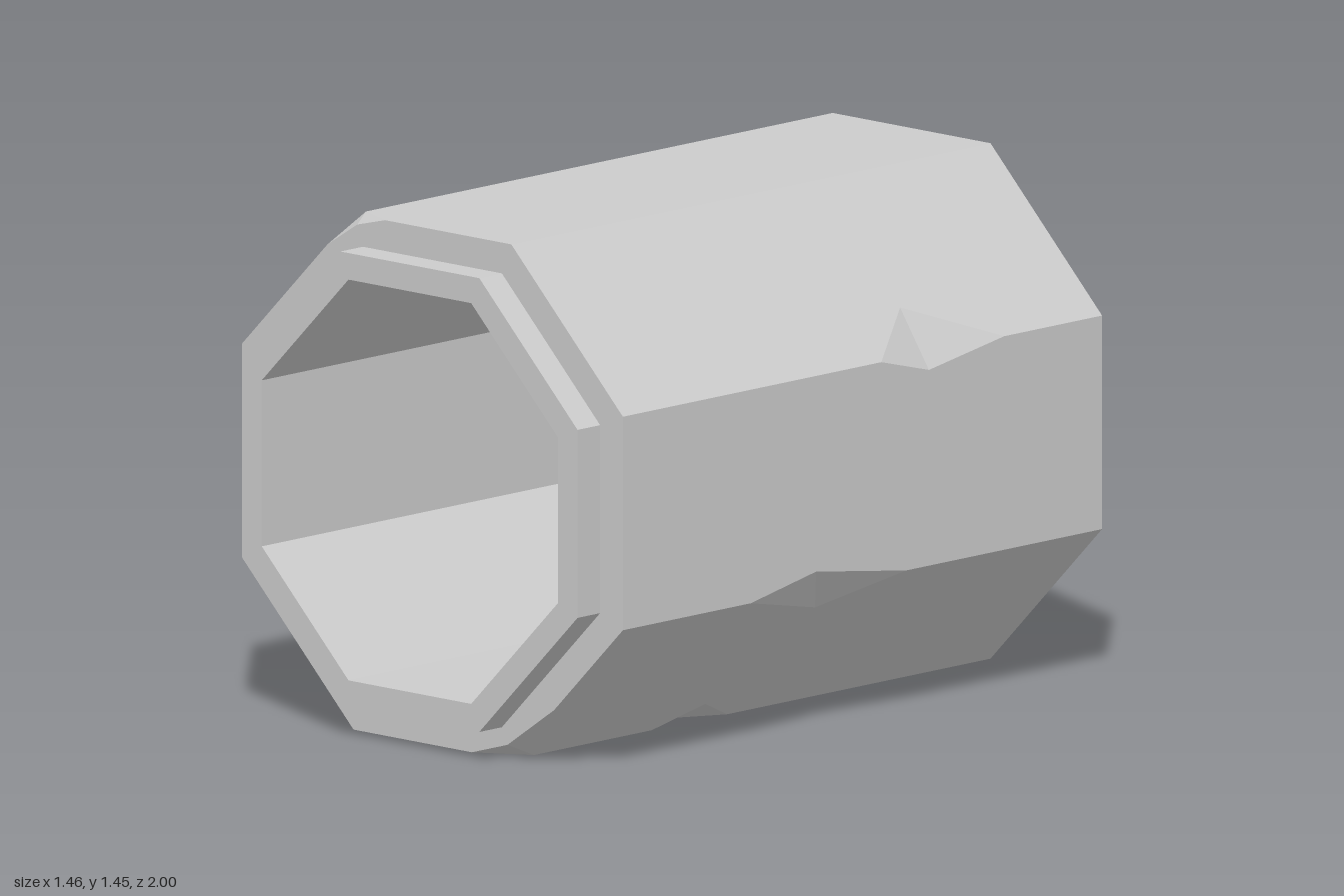
import * as THREE from 'three';
import { mergeGeometries } from 'three/addons/utils/BufferGeometryUtils.js';

const APOTHEM = 0.7235, CX = 0.005, CY = APOTHEM;
const SPIGOT = 0.637, BORE = 0.5625;
const BACK = -1, SHOULDER = 0.91, FRONT = 1, SOCKET = -0.91;
const T = Math.tan(Math.PI / 8);

// Octagon corners, counter-clockwise seen from the front
function octagon(a) {
  return Array.from({ length: 8 }, (_, k) => {
    const t = (k - 0.5) * Math.PI / 4, r = a / Math.cos(Math.PI / 8);
    return new THREE.Vector2(CX + r * Math.cos(t), CY + r * Math.sin(t));
  });
}

// Chips along the long edges: z range on the edge, then [distance, z] of the
// break on the previous and next panel. A chip with "mid" runs out at the front.
const CHIPS = [
  { edge: 1, z0: -0.61, z1: -0.12, prev: [0.05, -0.31], next: [0.155, -0.31] },
  { edge: 0, z0: -0.22, z1: 0.40, prev: [0.1, 0.07], next: [0.05, 0.14] },
  { edge: 7, z0: 0.05, z1: 0.35, prev: [0.08, 0.2], next: [0.085, 0.2] },
  { edge: 7, z0: 0.82, prev: [0.15, SHOULDER], next: [0.23, SHOULDER], mid: [0.29, 0.04] },
  { edge: 3, z0: 0.86, prev: [0.12, SHOULDER], next: [0.14, SHOULDER], mid: [-0.28, 1.42] },
  { edge: 4, z0: 0.05, z1: 0.60, prev: [0.15, 0.36], next: [0.04, 0.36], bulge: 0.012 },
];

const corners = octagon(APOTHEM);
const corner = k => corners[(k + 8) % 8];
const dir = k => corner(k + 1).clone().sub(corner(k)).normalize();
const SIDE = 2 * APOTHEM * T;

// Outline of one edge from back to front, as [distance from edge, z]
function edgeLine(k, which) {
  const line = [[0, BACK]];
  let open = true;
  for (const c of CHIPS.filter(c => c.edge === k % 8)) {
    line.push([0, c.z0], c[which]);
    if (c.mid) open = false;
    else line.push([0, c.z1]);
  }
  if (open) line.push([0, SHOULDER]);
  return line;
}

// Flat outer panel between corner k and k + 1, with its chipped outline
function panel(k) {
  const near = edgeLine(k, 'next');
  const far = edgeLine(k + 1, 'prev').map(([d, z]) => [SIDE - d, z]).reverse();
  const shape = new THREE.Shape([...near, ...far].map(p => new THREE.Vector2(...p)));
  const d = dir(k), o = corner(k);
  const m = new THREE.Matrix4().makeBasis(
    new THREE.Vector3(d.x, d.y, 0), new THREE.Vector3(0, 0, 1), new THREE.Vector3(d.y, -d.x, 0));
  m.setPosition(o.x, o.y, 0);
  return new THREE.ShapeGeometry(shape).applyMatrix4(m);
}

// Points of a chip in space
function chipPoints(c) {
  const e = corner(c.edge);
  const at = (p, z) => new THREE.Vector3(p.x, p.y, z);
  return {
    back: at(e, c.z0),
    prev: at(e.clone().addScaledVector(dir(c.edge - 1), -c.prev[0]), c.prev[1]),
    next: at(e.clone().addScaledVector(dir(c.edge), c.next[0]), c.next[1]),
    end: c.mid ? new THREE.Vector3(...c.mid, SHOULDER) : at(e, c.z1),
  };
}

// Two broken faces per chip
function chipFaces(c) {
  const { back, prev, next, end } = chipPoints(c);
  const tris = c.mid
    ? [back, next, end, back, end, prev]
    : [back, next, prev, end, prev, next];
  return new THREE.BufferGeometry().setFromPoints(tris);
}

// Shoulder ring at the front, following the chipped corners
function shoulder() {
  const pts = [];
  corners.forEach((p, k) => {
    const c = CHIPS.find(c => c.edge === k && c.mid);
    if (!c) return pts.push(p);
    const q = chipPoints(c);
    pts.push(...[q.prev, q.end, q.next].map(v => new THREE.Vector2(v.x, v.y)));
  });
  const shape = new THREE.Shape(pts);
  shape.holes.push(new THREE.Path(octagon(SPIGOT)));
  return new THREE.ShapeGeometry(shape).translate(0, 0, SHOULDER);
}

// Non-indexed, position-only copy so pieces merge with hard facets
function facets(g) {
  const flat = g.index ? g.toNonIndexed() : g;
  flat.deleteAttribute('uv');
  flat.deleteAttribute('normal');
  return flat;
}

// Push the slightly raised edge point outwards
function raiseEdges(g) {
  const pos = g.attributes.position, v = new THREE.Vector3();
  for (const c of CHIPS.filter(c => c.bulge)) {
    const { end } = chipPoints(c);
    for (let i = 0; i < pos.count; i++) {
      if (v.fromBufferAttribute(pos, i).distanceTo(end) < 1e-4) pos.setX(i, v.x - c.bulge);
    }
  }
}

export function createModel() {
  const group = new THREE.Group();
  group.name = 'octagonalPipe';
  const material = new THREE.MeshStandardMaterial({ color: 0xcccccc, flatShading: true });
  const add = (name, g) => {
    g.computeVertexNormals();
    const mesh = new THREE.Mesh(g, material);
    mesh.name = name;
    group.add(mesh);
  };

  // Chipped outer shell
  const shell = mergeGeometries([
    ...corners.map((_, k) => panel(k)), ...CHIPS.map(chipFaces),
  ].map(facets));
  raiseEdges(shell);
  add('outerShell', shell);
  add('frontShoulder', facets(shoulder()));

  // Front spigot, bore, back socket and back rim in one eight-sided profile
  const profile = [
    [SPIGOT, SHOULDER], [SPIGOT, FRONT], [BORE, FRONT], [BORE, SOCKET],
    [SPIGOT, SOCKET], [SPIGOT, BACK], [APOTHEM, BACK],
  ].map(([a, z]) => new THREE.Vector2(a / Math.cos(Math.PI / 8), z));
  const liner = new THREE.LatheGeometry(profile, 8, Math.PI / 8)
    .rotateX(Math.PI / 2).translate(CX, CY, 0);
  add('spigotBoreAndSocket', facets(liner));

  return group;
}
